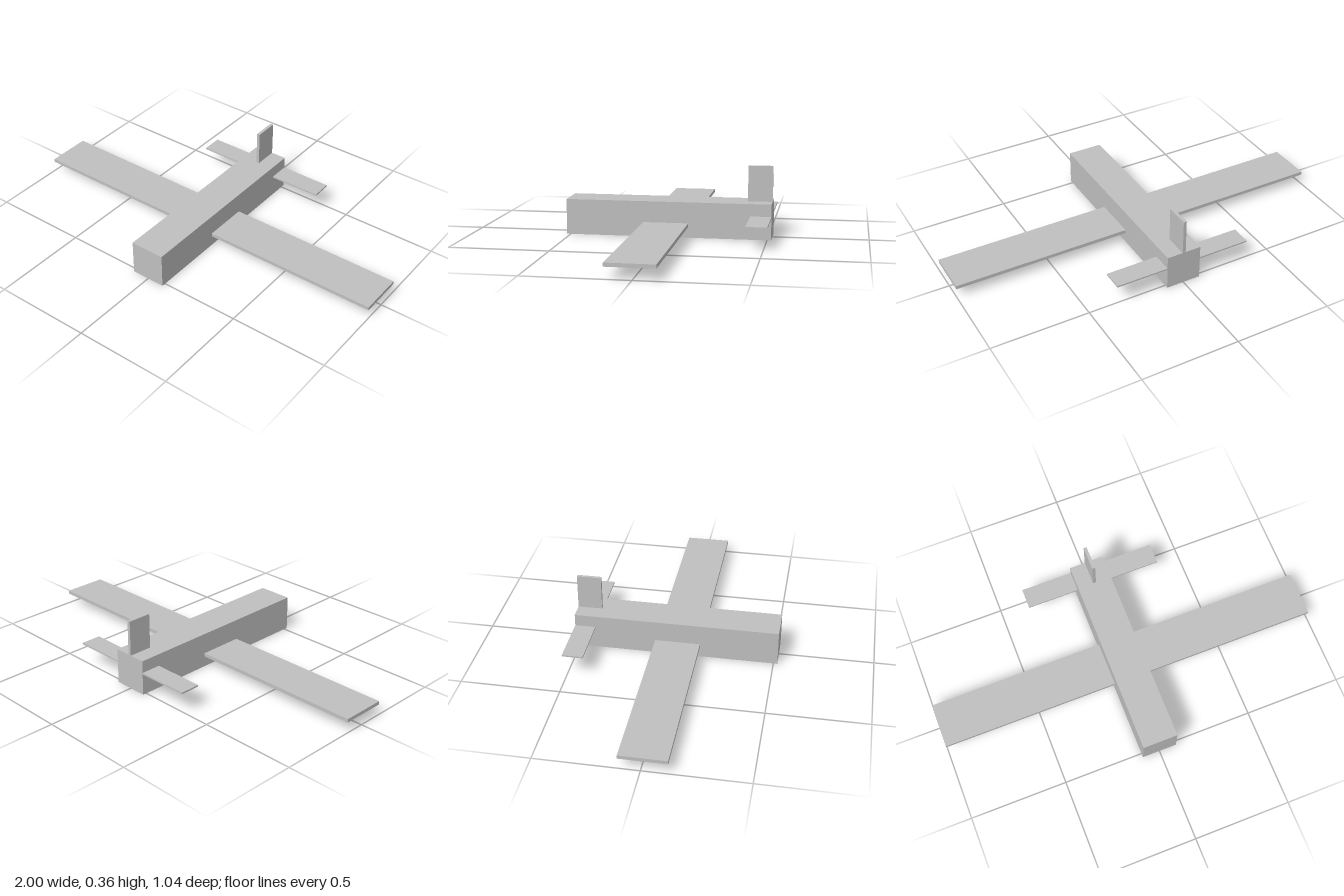
import * as THREE from 'three';

export function createModel() {
  const model = new THREE.Group();
  model.name = 'airplane';

  const lightGrey = new THREE.MeshStandardMaterial({ color: 0xc0c0c0 });
  lightGrey.name = 'lightGrey';

  // Box part centred on x, given its width and its y and z ranges
  function addPart(name, width, [y0, y1], [z0, z1]) {
    const geometry = new THREE.BoxGeometry(width, y1 - y0, z1 - z0);
    const mesh = new THREE.Mesh(geometry, lightGrey);
    mesh.name = name;
    mesh.position.set(0, (y0 + y1) / 2, (z0 + z1) / 2);
    model.add(mesh);
  }

  addPart('fuselage', 0.18, [0, 0.18], [-0.52, 0.52]);
  addPart('mainWing', 2, [0.055, 0.073], [-0.105, 0.125]);
  addPart('tailplane', 0.72, [0.11, 0.118], [-0.52, -0.415]);
  addPart('tailFin', 0.016, [0.18, 0.36], [-0.52, -0.396]);

  return model;
}
